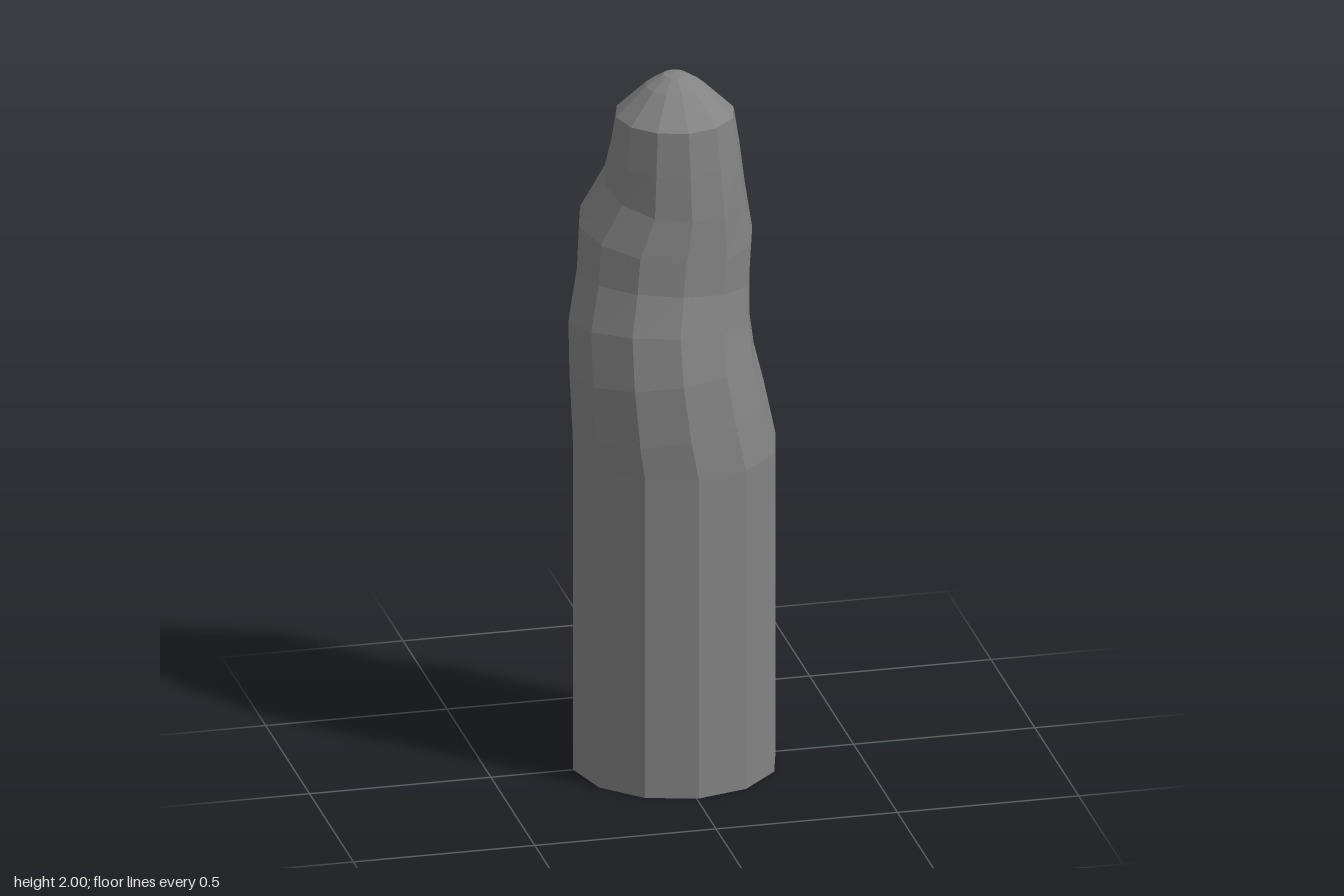
import * as THREE from 'three';

const SIDES = 12;

// Body rings from bottom to top: height, centre x, centre z, radius x, radius z
const RINGS = [
  [0.00, 0.006, 0.000, 0.279, 0.279],
  [0.92, 0.006, 0.000, 0.279, 0.279],
  [1.04, -0.014, 0.009, 0.264, 0.269],
  [1.17, -0.032, 0.011, 0.254, 0.255],
  [1.28, -0.035, -0.005, 0.250, 0.246],
  [1.40, -0.020, -0.023, 0.238, 0.236],
  [1.535, -0.011, -0.031, 0.239, 0.239],
  [1.67, 0.007, -0.002, 0.193, 0.203],
  [1.78, 0.004, 0.015, 0.177, 0.178],
  [1.885, 0.002, 0.021, 0.162, 0.162],
];

// Lean of a ring, following the bent centre line (straight base and top stay level)
function lean(i, axis) {
  if (i < 2 || i === RINGS.length - 1) return 0;
  const a = RINGS[i - 1], b = RINGS[i + 1];
  return (b[axis] - a[axis]) / (b[0] - a[0]);
}

// Unit cylinder whose rows are moved onto the rings
function bodyGeometry() {
  const rows = RINGS.length - 1;
  const geometry = new THREE.CylinderGeometry(1, 1, 1, SIDES, rows);
  const p = geometry.attributes.position;
  for (let v = 0; v < p.count; v++) {
    const i = Math.round((p.getY(v) + 0.5) * rows);
    const [y, cx, cz, rx, rz] = RINGS[i];
    const dx = p.getX(v) * rx, dz = p.getZ(v) * rz;
    p.setXYZ(v, cx + dx, y - lean(i, 1) * dx - lean(i, 2) * dz, cz + dz);
  }
  geometry.computeVertexNormals();
  return geometry;
}

export function createModel() {
  const group = new THREE.Group();
  group.name = 'bentColumn';
  const material = new THREE.MeshStandardMaterial({ color: 0x838383, flatShading: true });

  // Straight lower shaft with the crooked upper part
  const body = new THREE.Mesh(bodyGeometry(), material);
  body.name = 'body';
  group.add(body);

  // Rounded tip
  const profile = [[0.162, 1.885], [0.08, 1.964], [0.032, 1.995], [0, 2]]
    .map(([r, y]) => new THREE.Vector2(r, y));
  const tip = new THREE.Mesh(new THREE.LatheGeometry(profile, SIDES), material);
  tip.name = 'tip';
  tip.position.set(0.002, 0, 0.021);
  group.add(tip);

  return group;
}
